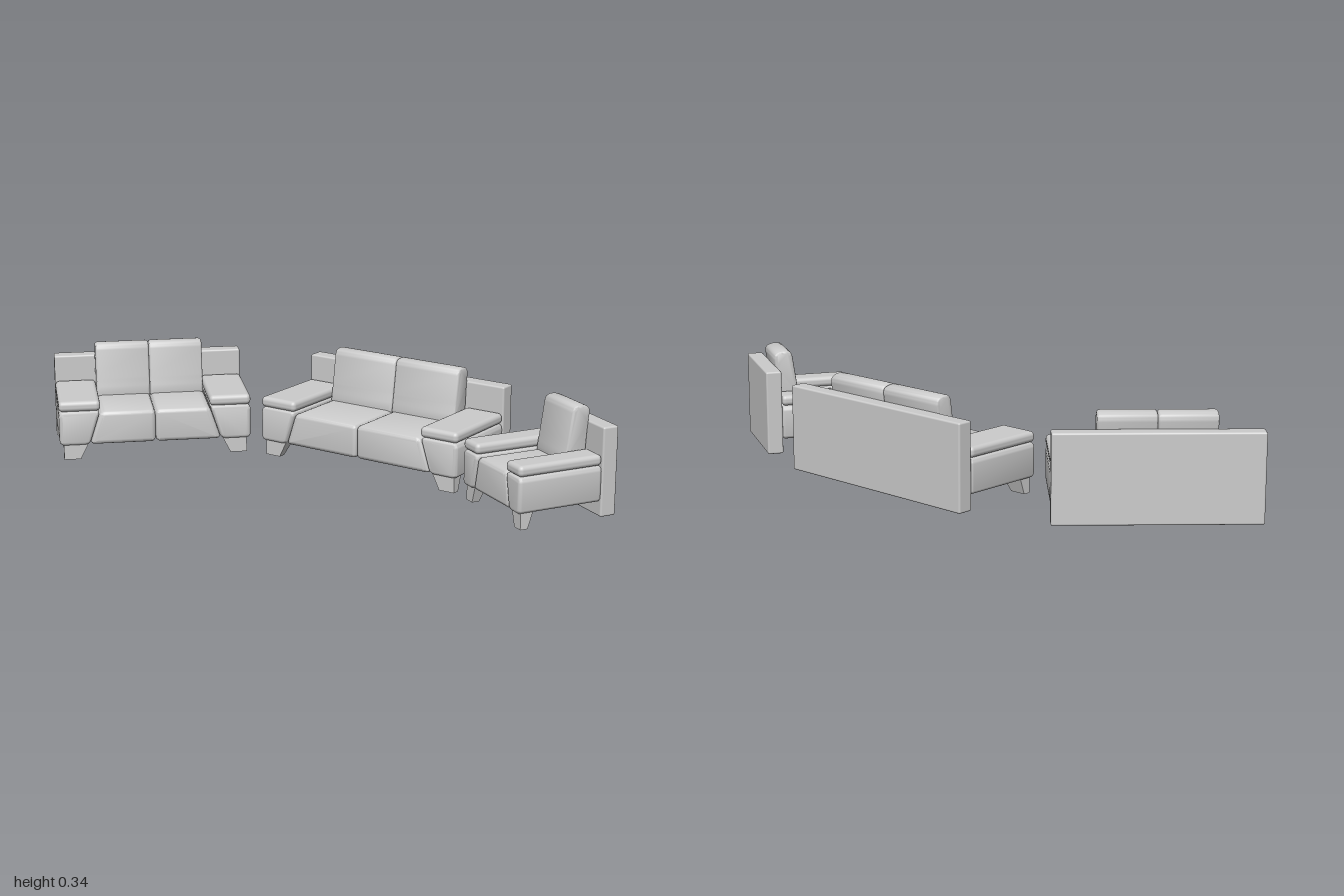
import * as THREE from 'three';
import { toCreasedNormals } from 'three/addons/utils/BufferGeometryUtils.js';
import { RoundedBoxGeometry } from 'three/addons/geometries/RoundedBoxGeometry.js';

const material = new THREE.MeshStandardMaterial({ color: 0xcccccc });

function add(group, name, geometry) {
  const mesh = new THREE.Mesh(geometry, material);
  mesh.name = name;
  group.add(mesh);
  return mesh;
}

// Closed polygon with every corner rounded by radius r
function roundedShape(points, r) {
  const pts = points.map(([x, y]) => new THREE.Vector2(x, y));
  const shape = new THREE.Shape();
  pts.forEach((p, i) => {
    const prev = pts[(i + pts.length - 1) % pts.length];
    const next = pts[(i + 1) % pts.length];
    const toward = (q) => {
      const d = q.clone().sub(p);
      return p.clone().addScaledVector(d, Math.min(r / d.length(), 0.48));
    };
    const a = toward(prev), b = toward(next);
    if (i === 0) shape.moveTo(a.x, a.y);
    else shape.lineTo(a.x, a.y);
    shape.quadraticCurveTo(p.x, p.y, b.x, b.y);
  });
  shape.closePath();
  return shape;
}

// Padded block: rounded outline extruded from z0 to z1 with soft ends
function padded(points, r, z0, z1, bevel) {
  const geometry = new THREE.ExtrudeGeometry(roundedShape(points, r), {
    depth: z1 - z0 - 2 * bevel, curveSegments: 5,
    bevelEnabled: true, bevelThickness: bevel, bevelSize: bevel,
    bevelOffset: -bevel, bevelSegments: 4,
  });
  geometry.translate(0, 0, z0 + bevel);
  return toCreasedNormals(geometry, 0.7);
}

function box(x0, x1, y0, y1, z0, z1, r) {
  const geometry = new RoundedBoxGeometry(x1 - x0, y1 - y0, z1 - z0, 3, r);
  return geometry.translate((x0 + x1) / 2, (y0 + y1) / 2, (z0 + z1) / 2);
}

// Leg tapering downward on its inner and rear sides
function legGeometry(side, outer, topWidth, bottomWidth, front) {
  const geometry = new THREE.BoxGeometry(1, 1, 1);
  const p = geometry.attributes.position;
  for (let i = 0; i < p.count; i++) {
    const top = p.getY(i) > 0;
    const w = top ? topWidth : bottomWidth;
    const d = top ? 0.045 : 0.025;
    const u = p.getX(i) * side + 0.5;
    p.setXYZ(i, side * (outer - w * (1 - u)), top ? 0.06 : 0, front - d * (0.5 - p.getZ(i)));
  }
  const flat = geometry.toNonIndexed();
  flat.computeVertexNormals();
  return flat;
}

function createSeating(name, width, armWidth, seats) {
  const group = new THREE.Group();
  group.name = name;
  const half = width / 2;
  const inner = half - armWidth;
  const slant = armWidth * 0.27;
  const back = -0.171, panelFront = -0.118, front = 0.171;

  add(group, 'backPanel', box(-half, half, 0.002, 0.285, back, panelFront, 0.006));

  // Arms, arm pads and front legs
  for (const side of [-1, 1]) {
    const label = side > 0 ? 'left' : 'right';
    const arm = [
      [inner + slant, 0.05], [half, 0.05], [half, 0.165], [inner, 0.165],
    ].map(([x, y]) => [x * side, y]);
    if (side < 0) arm.reverse();
    add(group, label + 'Arm', padded(arm, 0.018, panelFront - 0.002, front, 0.012));

    const x0 = side > 0 ? inner : -half;
    add(group, label + 'ArmPad', box(x0, x0 + armWidth, 0.165, 0.2, panelFront, front, 0.014));

    const inset = armWidth * 0.1;
    add(group, label + 'FrontLeg',
      legGeometry(side, half - inset, armWidth * 0.62, armWidth * 0.4, front - 0.012));
  }

  // Seat cushions widen downward against the sloping arms
  const seatWidth = (2 * inner) / seats;
  const backProfile = [
    [-0.112, 0.15], [-0.036, 0.15], [-0.046, 0.21], [-0.064, 0.333],
    [-0.095, 0.338], [-0.128, 0.326], [-0.12, 0.27],
  ];
  for (let i = 0; i < seats; i++) {
    const x0 = -inner + i * seatWidth;
    const x1 = x0 + seatWidth;
    const b0 = i === 0 ? x0 - slant : x0;
    const b1 = i === seats - 1 ? x1 + slant : x1;
    add(group, 'seatCushion' + (i + 1), padded(
      [[b0, 0.05], [b1, 0.05], [x1, 0.162], [x0, 0.162]],
      0.018, panelFront - 0.002, front - 0.002, 0.015));

    // Leaning back cushion, its side profile swept across the seat
    const cushion = padded(backProfile, 0.02, -seatWidth / 2, seatWidth / 2, 0.01);
    cushion.rotateY(-Math.PI / 2);
    add(group, 'backCushion' + (i + 1), cushion).position.x = (x0 + x1) / 2;
  }
  return group;
}

export function createModel() {
  const model = new THREE.Group();
  model.name = 'livingRoomSuite';

  const place = (piece, x, z, degrees) => {
    piece.position.set(x, 0, z);
    piece.rotation.y = THREE.MathUtils.degToRad(degrees);
    model.add(piece);
  };
  place(createSeating('largeSofa', 0.76, 0.137, 2), 0.115, -0.227, 0);
  place(createSeating('smallSofa', 0.637, 0.137, 2), -0.653, 0.045, 44.5);
  place(createSeating('armchair', 0.338, 0.085, 1), 0.763, -0.099, -29.4);
  return model;
}
